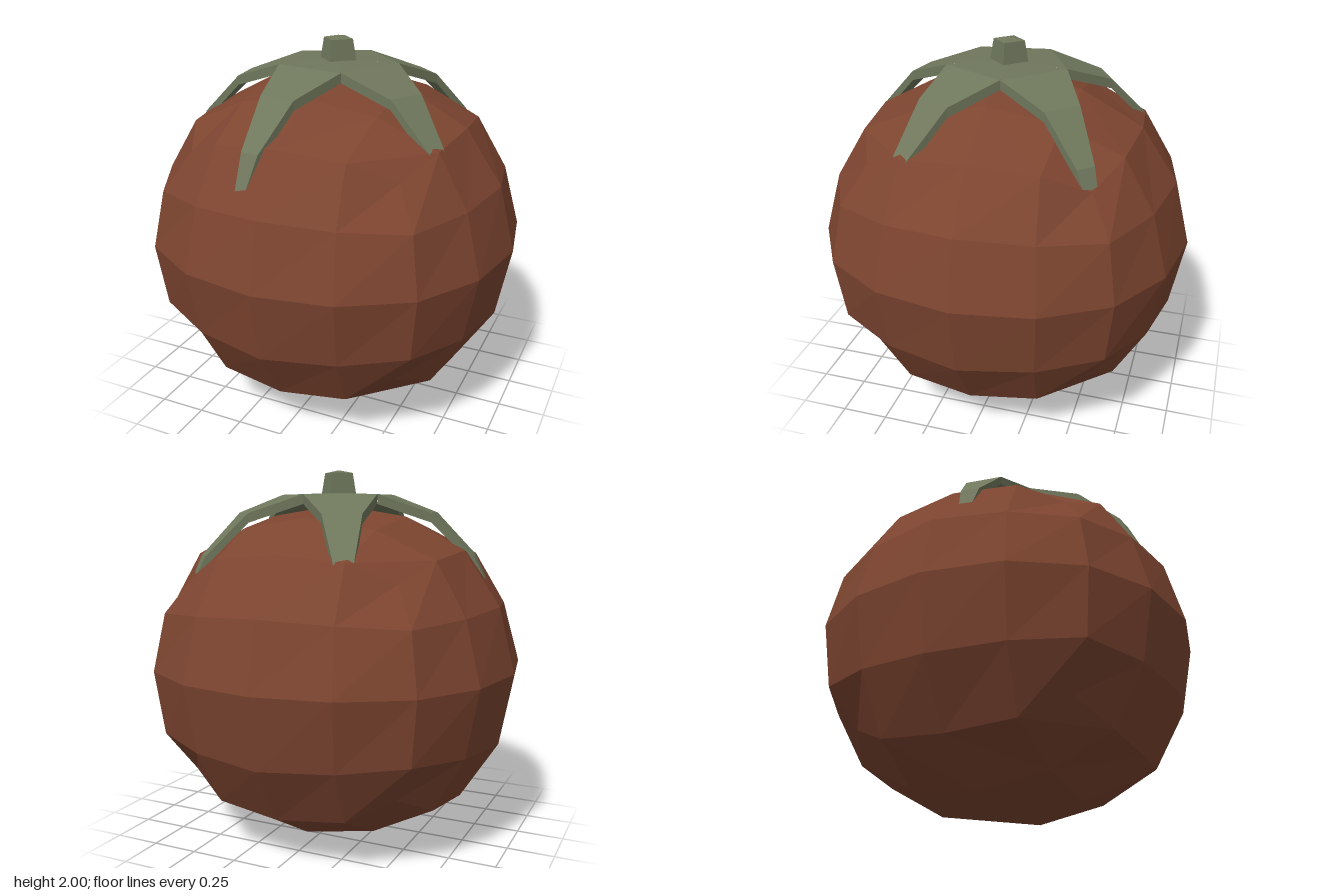
import * as THREE from 'three';

const skin = new THREE.MeshStandardMaterial({ color: 0x7d4530, flatShading: true });
const green = new THREE.MeshStandardMaterial({ color: 0x6f775c, flatShading: true });

function named(name, geometry, material) {
  const mesh = new THREE.Mesh(geometry, material);
  mesh.name = name;
  return mesh;
}

// Fruit: a 4x4 gridded cube rounded into a ball, flatter above its equator
function fruitGeometry() {
  const geo = new THREE.BoxGeometry(2, 2, 2, 4, 4, 4);
  // key: how many coordinates are 1 and how many are 0.5; value: their new sizes
  const rounded = {
    '1,0': [1, 0], '1,1': [0.93, 0.4], '2,0': [0.73, 0],
    '1,2': [0.86, 0.38], '2,1': [0.695, 0.355], '3,0': [0.58, 0],
  };
  const pos = geo.attributes.position;
  for (let i = 0; i < pos.count; i++) {
    const p = [pos.getX(i), pos.getY(i), pos.getZ(i)];
    const count = (v) => p.filter((c) => Math.abs(c) === v).length;
    const [one, half] = rounded[`${count(1)},${count(0.5)}`];
    const [x, y, z] = p.map((c) => Math.sign(c) * (Math.abs(c) === 1 ? one : half));
    const taper = y > 0 ? 0.98 : 1;
    pos.setXYZ(i, x * taper, 0.955 + y * (y > 0 ? 0.86 : 0.955), z * taper);
  }
  geo.computeVertexNormals();
  return geo;
}

// One leaf along +x: thick sections from the centre out to the drooping tip
function leafGeometry() {
  // distance from centre, half width, top height, thickness
  const sections = [
    [0, 0, 1.88, 0.05],
    [0.263, 0.191, 1.87, 0.05],
    [0.53, 0.1, 1.775, 0.05],
    [0.75, 0.05, 1.555, 0.05],
    [0.89, 0.016, 1.265, 0.03],
  ];
  const points = [];
  const index = [];
  for (const [r, w, y, t] of sections) {
    points.push(r, y, w, r, y, -w, r, y - t, -w, r, y - t, w);
  }
  const quad = (a, b, c, d) => index.push(a, b, c, a, c, d);
  for (let s = 0; s < sections.length - 1; s++) {
    for (let k = 0; k < 4; k++) {
      if (s === 0 && k % 2) continue; // neighbouring leaves meet here
      const a = s * 4 + k, b = s * 4 + ((k + 1) % 4);
      quad(a, a + 4, b + 4, b);
    }
  }
  const e = (sections.length - 1) * 4;
  quad(e, e + 3, e + 2, e + 1);
  const geo = new THREE.BufferGeometry();
  geo.setAttribute('position', new THREE.Float32BufferAttribute(points, 3));
  geo.setIndex(index);
  geo.computeVertexNormals();
  return geo;
}

export function createModel() {
  const model = new THREE.Group();
  model.name = 'tomato';
  model.add(named('fruit', fruitGeometry(), skin));

  // Five-leaved star
  const calyx = new THREE.Group();
  calyx.name = 'calyx';
  const leaf = leafGeometry();
  for (let i = 0; i < 5; i++) {
    const mesh = named('leaf', leaf, green);
    mesh.rotation.y = -THREE.MathUtils.degToRad(27.3 + 72 * i);
    calyx.add(mesh);
  }
  model.add(calyx);

  // Four-sided stub of the stem
  const profile = [[0.106, 1.86], [0.083, 1.985], [0, 2]].map(([r, y]) => new THREE.Vector2(r, y));
  model.add(named('stem', new THREE.LatheGeometry(profile, 4), green));
  return model;
}
